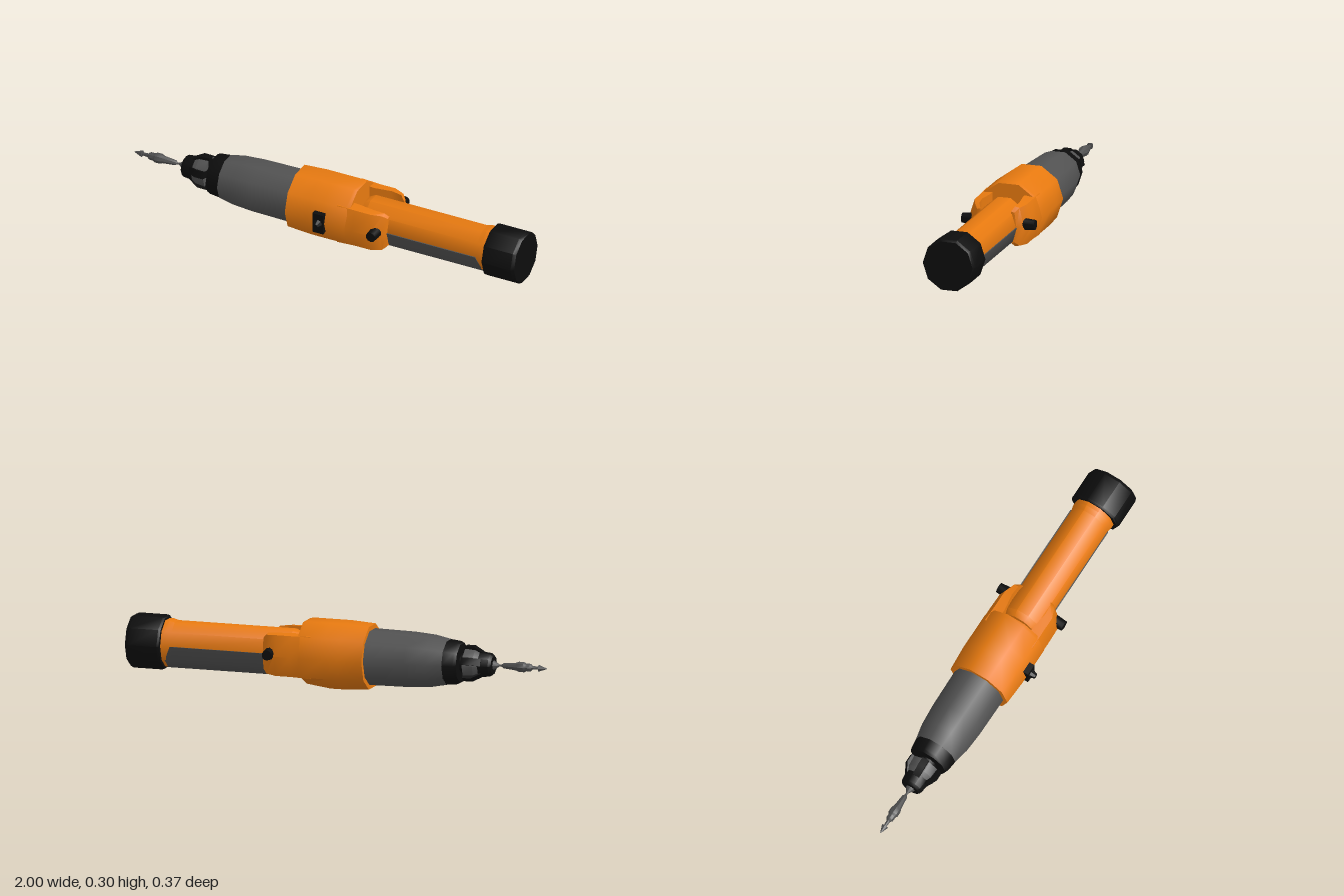
import * as THREE from 'three';
import { toCreasedNormals } from 'three/addons/utils/BufferGeometryUtils.js';

const mat = (color) => new THREE.MeshStandardMaterial({ color });
const ORANGE = mat(0xe87a10), GREY = mat(0x525252), BLACK = mat(0x0d0d0d), STEEL = mat(0x505050);

function add(parent, name, geometry, material) {
  const mesh = new THREE.Mesh(toCreasedNormals(geometry, 0.7), material);
  mesh.name = name;
  parent.add(mesh);
  return mesh;
}

// Turned part along x from [x, radius] pairs, closed at both ends
function turned(profile, sides = 10) {
  const closed = [[profile[0][0], 0], ...profile, [profile[profile.length - 1][0], 0]];
  return new THREE.LatheGeometry(closed.map(([x, r]) => new THREE.Vector2(r, x)), sides).rotateZ(-Math.PI / 2);
}

// Solid through rings of [x, y, z] points, ordered from low x to high x
function loft(rings) {
  const n = rings[0].length, index = [];
  for (let k = 0; k < rings.length - 1; k++) {
    for (let i = 0; i < n; i++) {
      const a = k * n + i, b = k * n + (i + 1) % n;
      index.push(a, b, a + n, b, b + n, a + n);
    }
  }
  const end = (rings.length - 1) * n;
  for (let i = 1; i < n - 1; i++) {
    index.push(0, i + 1, i, end, end + i, end + i + 1);
  }
  const g = new THREE.BufferGeometry();
  g.setAttribute('position', new THREE.Float32BufferAttribute(rings.flat(2), 3));
  g.setIndex(index);
  return g;
}

export function createModel() {
  const model = new THREE.Group();
  model.name = 'folding screwdriver';
  const tool = new THREE.Group();
  tool.name = 'tool';
  tool.position.set(0, 0.154, -0.01); // long axis of the tool
  model.add(tool);

  // Orange housing, its underside sloping up at the hinge end
  const housing = turned([[-0.155, 0.153], [-0.04, 0.16], [0.03, 0.16], [0.145, 0.16], [0.163, 0.155]]);
  const p = housing.attributes.position;
  for (let i = 0; i < p.count; i++) {
    if (p.getX(i) > 0.1 && p.getY(i) < -0.12) p.setY(i, p.getX(i) > 0.15 ? -0.105 : -0.137);
  }
  add(tool, 'housing', housing, ORANGE);

  // Two hinge arms with tapered tips, and their pivot buttons
  const armRing = (x, inner, mid, outer, h) => [
    [x, h, inner], [x, h * 0.95, mid], [x, 0, outer], [x, -h * 0.95, mid], [x, -h, inner],
  ];
  const arm = loft([
    armRing(0.1, 0.076, 0.128, 0.158, 0.104), armRing(0.19, 0.078, 0.126, 0.158, 0.1),
    armRing(0.27, 0.09, 0.126, 0.156, 0.1), armRing(0.32, 0.086, 0.108, 0.128, 0.095),
    armRing(0.34, 0.074, 0.09, 0.1, 0.075),
  ]);
  const button = new THREE.CylinderGeometry(0.024, 0.03, 0.07, 10).rotateX(Math.PI / 2);
  for (const side of [1, -1]) {
    const name = side > 0 ? 'front' : 'rear';
    add(tool, name + 'HingeArm', arm, ORANGE).rotation.x = side > 0 ? 0 : Math.PI;
    const pivot = add(tool, name + 'PivotButton', button, BLACK);
    pivot.position.set(0.295, 0.008, side * 0.141);
    if (side < 0) pivot.rotation.y = Math.PI;
  }

  // Handle, flared where it meets the battery cap
  const handle = turned([[0.19, 0.09], [0.22, 0.105], [0.79, 0.105], [0.815, 0.112], [0.84, 0.112]]);
  add(tool, 'handle', handle.scale(1, 1, 0.92), ORANGE);
  add(tool, 'endCap', turned([[0.835, 0.122], [0.845, 0.127], [0.985, 0.127], [1, 0.119]]), BLACK);

  // Grip panel wrapped around the lower half of the handle
  const gripRing = (x, topX) => Array.from({ length: 6 }, (_, i) => {
    const a = Math.PI / 2 + i * Math.PI / 5;
    return [i % 5 ? x : topX, 0.115 * Math.cos(a), 0.102 * Math.sin(a)];
  });
  add(tool, 'gripPanel', loft([gripRing(0.28, 0.28), gripRing(0.79, 0.77), gripRing(0.82, 0.79)]), GREY);

  // Grey gearbox and black collar
  add(tool, 'gearbox', turned([[-0.525, 0.106], [-0.45, 0.121], [-0.35, 0.128], [-0.15, 0.131]]), GREY);
  add(tool, 'collar', turned([[-0.59, 0.093], [-0.575, 0.1], [-0.52, 0.106]]), BLACK);

  // Chuck: neck, grey core, black ribs and nose
  add(tool, 'chuckNeck', turned([[-0.63, 0.045], [-0.58, 0.045]]), BLACK);
  add(tool, 'chuckCore', turned([[-0.7, 0.05], [-0.66, 0.07], [-0.612, 0.074]]), GREY);
  add(tool, 'chuckNose', turned([[-0.742, 0.044], [-0.73, 0.054], [-0.675, 0.06]]), BLACK);
  const rib = loft([[-0.695, 0.056], [-0.65, 0.083], [-0.61, 0.083]].map(([x, y]) => [
    [x, y, -0.017], [x, y, 0.017], [x, 0.03, 0.017], [x, 0.03, -0.017],
  ]));
  for (let i = 0; i < 5; i++) {
    add(tool, 'chuckRib', rib, BLACK).rotation.x = i * Math.PI * 2 / 5;
  }

  // Driver bit
  add(tool, 'bit', turned([
    [-1, 0.001], [-0.96, 0.016], [-0.958, 0.007], [-0.93, 0.009], [-0.92, 0.018], [-0.9, 0.018],
    [-0.89, 0.024], [-0.865, 0.024], [-0.85, 0.018], [-0.79, 0.012], [-0.78, 0.005],
    [-0.77, 0.005], [-0.745, 0.022], [-0.73, 0.022],
  ], 8), STEEL);

  // Slide switch on the front of the housing
  add(tool, 'switchPlate', new THREE.BoxGeometry(0.055, 0.1, 0.04), BLACK).position.set(0.022, 0, 0.15);
  const knob = new THREE.CylinderGeometry(0.012, 0.024, 0.03, 8).rotateX(Math.PI / 2);
  add(tool, 'switchKnob', knob, BLACK).position.set(0.022, 0, 0.18);

  return model;
}
